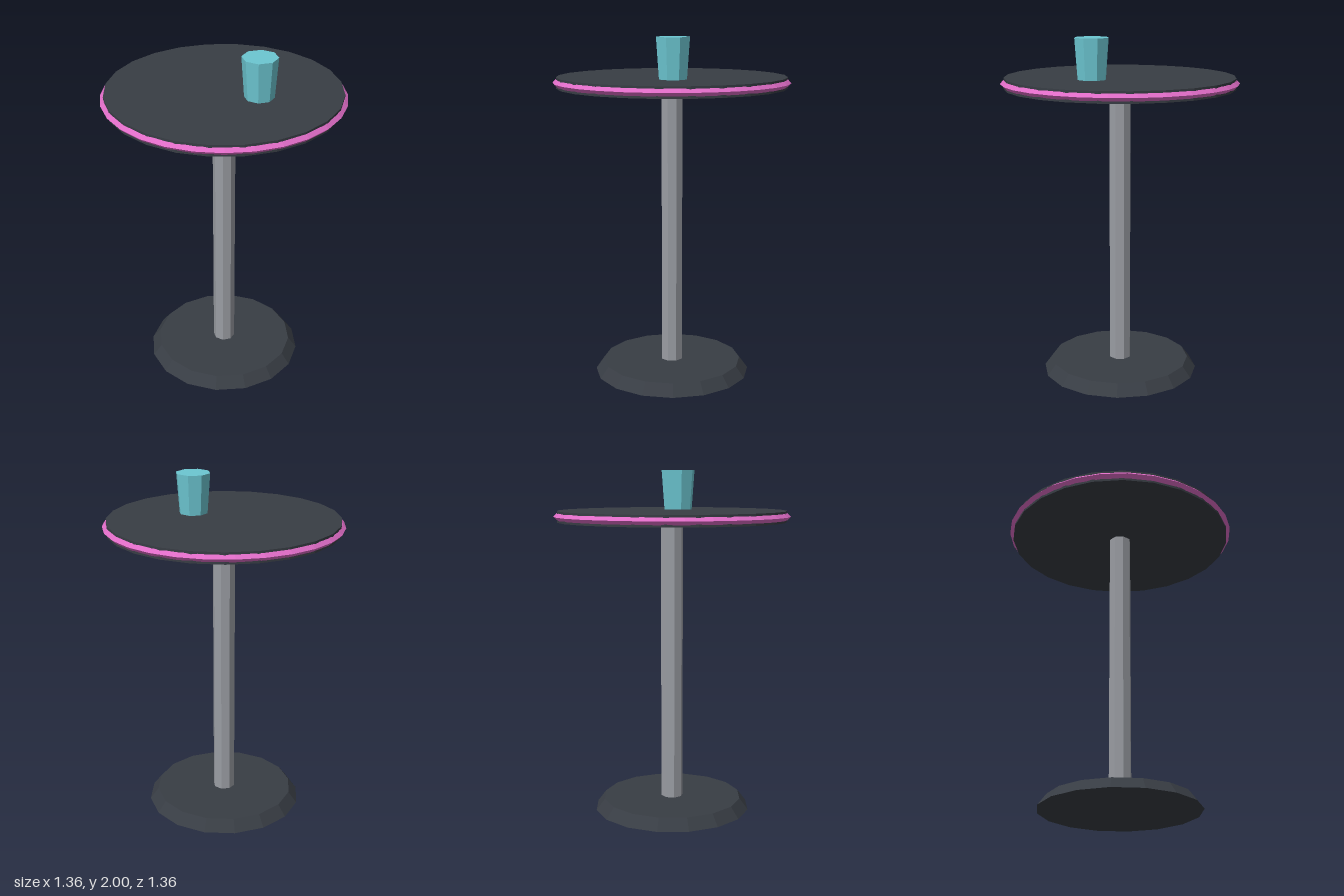
import * as THREE from 'three';

const flat = (name, color) => {
  const material = new THREE.MeshStandardMaterial({ color, flatShading: true });
  material.name = name;
  return material;
};

export function createModel() {
  const charcoal = flat('charcoal', 0x383d44);
  const steel = flat('steel grey', 0x9a9da3);
  const pink = flat('pink', 0xdf6cc6);
  const aqua = flat('aqua', 0x6cc6d1);

  const table = new THREE.Group();
  table.name = 'barTable';

  // Faceted drum standing between two heights
  const drum = (name, material, rTop, rBottom, y0, y1, sides, x = 0, z = 0) => {
    const geometry = new THREE.CylinderGeometry(rTop, rBottom, y1 - y0, sides);
    const mesh = new THREE.Mesh(geometry, material);
    mesh.name = name;
    mesh.position.set(x, (y0 + y1) / 2, z);
    table.add(mesh);
  };

  drum('base', charcoal, 0.41, 0.46, 0, 0.066, 16);
  drum('pole', steel, 0.065, 0.065, 0.066, 1.706, 8);
  drum('tableTop', charcoal, 0.66, 0.66, 1.706, 1.77, 24);
  drum('cup', aqua, 0.1, 0.083, 1.77, 2, 8, 0.198, -0.085);

  // Diamond-section trim around the table edge
  const trim = new THREE.Mesh(new THREE.TorusGeometry(0.66, 0.02, 4, 28), pink);
  trim.name = 'edgeTrim';
  trim.rotation.x = Math.PI / 2;
  trim.position.y = 1.738;
  table.add(trim);

  return table;
}
